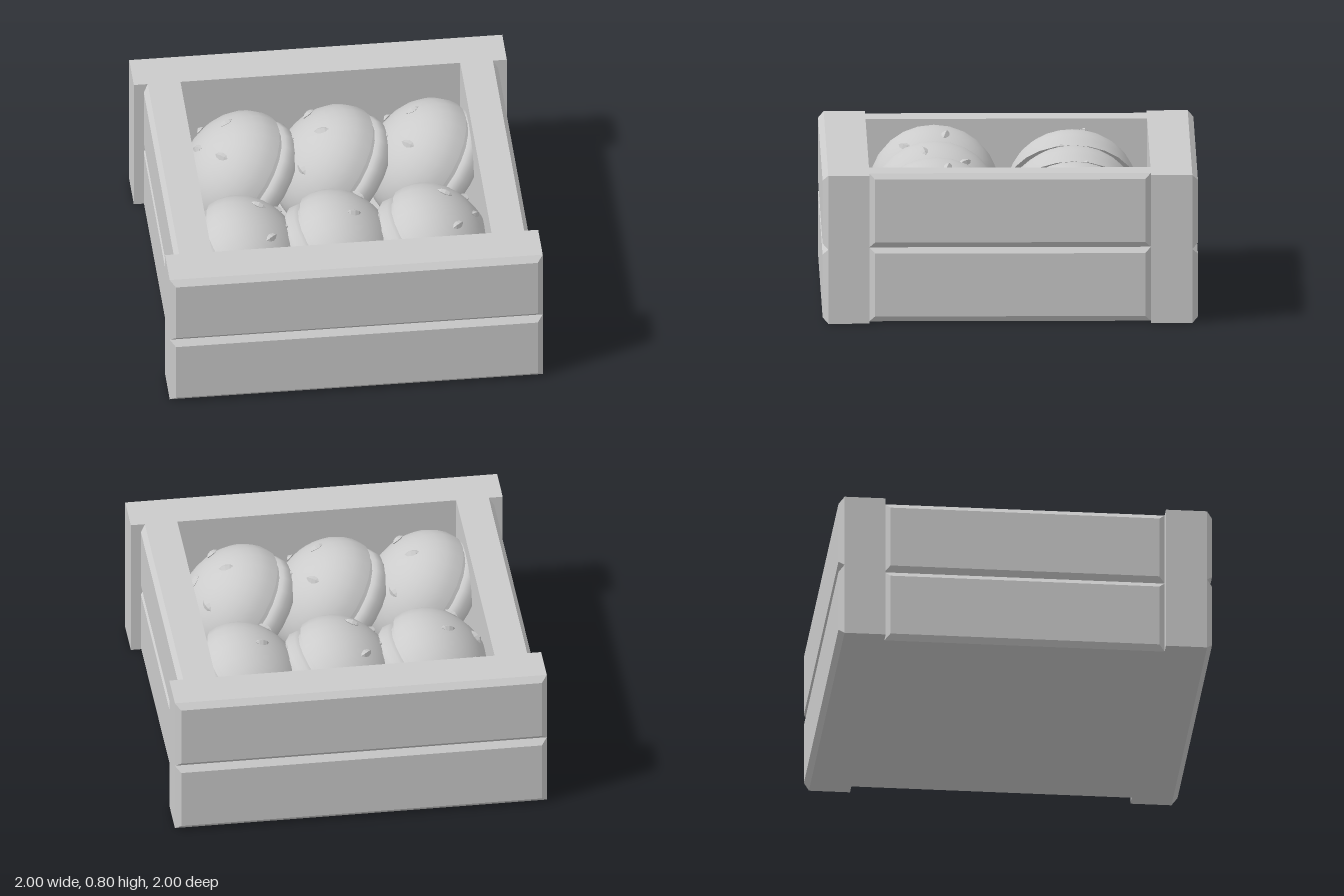
import * as THREE from 'three';
import { toCreasedNormals } from 'three/addons/utils/BufferGeometryUtils.js';

const material = new THREE.MeshStandardMaterial({ color: 0xcccccc });
const flatMaterial = new THREE.MeshStandardMaterial({ color: 0xcccccc, flatShading: true });

const R = 0.347;                            // bun radius
const H = 0.28;                             // dome height
const TILT = THREE.MathUtils.degToRad(50);  // lean of each bun

// Box whose +z face is chamfered on all four edges
function plankGeometry(w, h, d, bevel) {
  const geo = new THREE.BoxGeometry(w, h, d, 1, 1, 2);
  const p = geo.attributes.position;
  for (let i = 0; i < p.count; i++) {
    const z = p.getZ(i);
    if (Math.abs(z) < 1e-6) p.setZ(i, d / 2 - bevel);
    else if (z > 0) {
      p.setX(i, p.getX(i) - Math.sign(p.getX(i)) * 0.03);
      p.setY(i, p.getY(i) - Math.sign(p.getY(i)) * 0.03);
    }
  }
  const flat = geo.toNonIndexed();
  flat.computeVertexNormals();
  return flat;
}

function lathe(points) {
  const pts = points.map(([x, y]) => new THREE.Vector2(x, y));
  return toCreasedNormals(new THREE.LatheGeometry(pts, 24), 0.75);
}

// Domed upper half with a sharp rim
const domePoints = [[0, 0]];
for (let i = 0; i <= 9; i++) {
  const a = (i / 9) * Math.PI / 2;
  domePoints.push([i === 9 ? 0 : R * Math.cos(a), H * Math.sin(a)]);
}
const domeGeometry = lathe(domePoints);

// Rounded lower half with a narrow neck under the dome
const baseGeometry = lathe([
  [0, -0.17], [0.27, -0.17], [0.325, -0.145], [0.347, -0.09],
  [0.338, -0.05], [0.32, -0.035], [0.32, 0],
]);

// Pointed four-sided seed with a ridge along its length
const seedGeometry = new THREE.LatheGeometry(
  [[0, -0.043], [0.016, -0.024], [0.022, 0], [0.016, 0.024], [0, 0.043]]
    .map(([x, y]) => new THREE.Vector2(x, y)), 4);
seedGeometry.scale(1, 1, 0.75);

// Seed lying on the dome at local (u, v), long axis along the given angle
function makeSeed(u, v, angle) {
  const w = H * Math.sqrt(1 - (u * u + v * v) / (R * R));
  const normal = new THREE.Vector3(u / (R * R), w / (H * H), v / (R * R)).normalize();
  const along = new THREE.Vector3(Math.cos(angle), 0, Math.sin(angle));
  along.addScaledVector(normal, -along.dot(normal)).normalize();
  const side = new THREE.Vector3().crossVectors(along, normal);
  const seed = new THREE.Mesh(seedGeometry, flatMaterial);
  seed.name = 'seed';
  seed.quaternion.setFromRotationMatrix(new THREE.Matrix4().makeBasis(side, along, normal));
  seed.position.set(u, w, v).addScaledVector(normal, 0.003);
  return seed;
}

// lean: +1 tips the dome toward -x, -1 toward +x; flip mirrors the seeds in z
function makeBun(lean, flip) {
  const bun = new THREE.Group();
  bun.name = 'bun';
  const top = new THREE.Mesh(domeGeometry, material);
  top.name = 'bunTop';
  const base = new THREE.Mesh(baseGeometry, material);
  base.name = 'bunBase';
  bun.add(top, base);
  // One seed at the crown and five in a ring
  bun.add(makeSeed(0, 0, Math.atan2(flip, lean)));
  for (let k = 0; k < 5; k++) {
    const a = THREE.MathUtils.degToRad(-18 + 72 * k);
    const c = lean * Math.cos(a), s = flip * Math.sin(a);
    bun.add(makeSeed(0.195 * c, 0.195 * s, Math.atan2(s, c)));
  }
  bun.rotation.z = lean * TILT;
  return bun;
}

export function createModel() {
  const model = new THREE.Group();
  model.name = 'crateOfBuns';

  // Crate walls: two planks high on each of four sides
  const crate = new THREE.Group();
  crate.name = 'crate';
  const endGeometry = plankGeometry(2, 0.4, 0.25, 0.03);
  const sideGeometry = plankGeometry(1.5, 0.4, 0.2, 0.025);
  for (const y of [0.2, 0.6]) {
    for (const s of [1, -1]) {
      const end = new THREE.Mesh(endGeometry, material);
      end.name = s > 0 ? 'frontPlank' : 'backPlank';
      end.position.set(0, y, s * 0.875);
      end.rotation.y = s > 0 ? 0 : Math.PI;
      const side = new THREE.Mesh(sideGeometry, material);
      side.name = s > 0 ? 'leftPlank' : 'rightPlank';
      side.position.set(s * 0.85, y, 0);
      side.rotation.y = s * Math.PI / 2;
      crate.add(end, side);
    }
  }

  // Crate floor
  const floor = new THREE.Mesh(new THREE.BoxGeometry(1.5, 0.1, 1.5), material);
  floor.name = 'floor';
  floor.position.y = 0.05;
  crate.add(floor);
  model.add(crate);

  // Two rows of three buns leaning in opposite directions
  for (const lean of [1, -1]) {
    for (let i = -1; i <= 1; i++) {
      const bun = makeBun(lean, i === 0 ? -1 : 1);
      bun.position.set(i * 0.5 + lean * 0.012, 0.475, lean > 0 ? -0.347 : 0.388);
      model.add(bun);
    }
  }
  return model;
}
